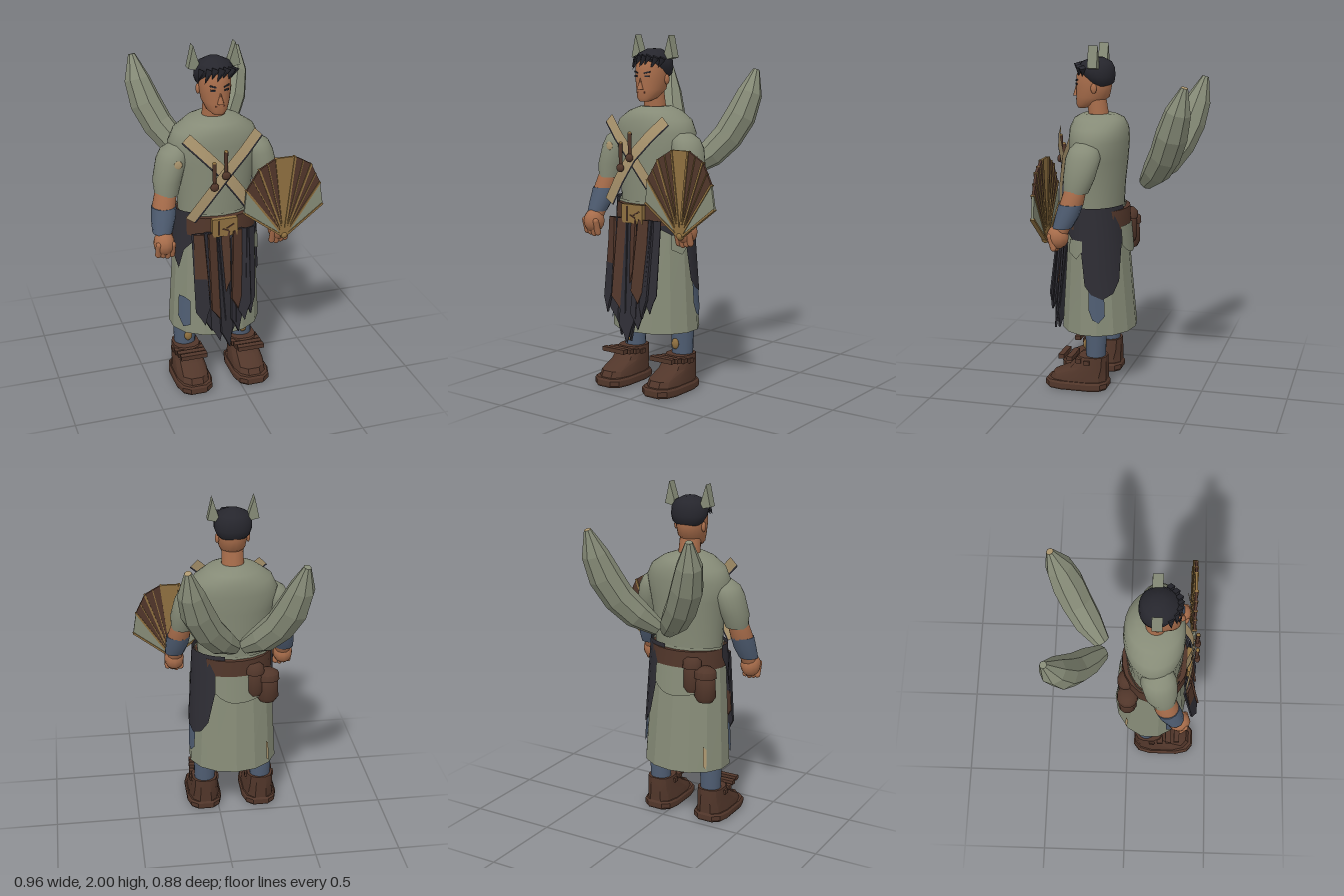
import * as THREE from 'three';
import { toCreasedNormals } from 'three/addons/utils/BufferGeometryUtils.js';

const CX = -0.09; // centre line of the figure

export function createModel() {
  const model = new THREE.Group();
  const figure = new THREE.Group();
  figure.name = 'figure';
  figure.position.x = CX;
  model.add(figure);

  const paint = (name, color, side = THREE.FrontSide) => {
    const m = new THREE.MeshStandardMaterial({ color, side });
    m.name = name;
    return m;
  };
  const sage = paint('sage', 0x868b77, THREE.DoubleSide);
  const skin = paint('skin', 0xa86d4b);
  const black = paint('hair black', 0x26262d);
  const cloth = paint('dark cloth', 0x2e2d34, THREE.DoubleSide);
  const brown = paint('leather brown', 0x51362a);
  const gold = paint('gold', 0x8f7040);
  const tan = paint('tan', 0xae9870, THREE.DoubleSide);
  const blue = paint('slate blue', 0x4f5d72, THREE.DoubleSide);
  const lip = paint('lip', 0x7a4733);

  const add = (name, geo, mat, x = 0, y = 0, z = 0, parent = figure) => {
    const mesh = new THREE.Mesh(geo, mat);
    mesh.name = name;
    mesh.position.set(x, y, z);
    parent.add(mesh);
    return mesh;
  };
  const box = (w, h, d) => new THREE.BoxGeometry(w, h, d);
  const ball = (r) => new THREE.SphereGeometry(r, 12, 8);
  const plate = (points, depth) => new THREE.ExtrudeGeometry(
    new THREE.Shape(points.map(([x, y]) => new THREE.Vector2(x, y))), { depth, bevelEnabled: false });
  const buffer = (pos, idx) => {
    const g = new THREE.BufferGeometry();
    g.setAttribute('position', new THREE.Float32BufferAttribute(pos, 3));
    g.setIndex(idx);
    return g;
  };

  // Oval rings [x, y, z, rx, rz] from bottom to top; power below 1 squares the oval
  const loft = (rings, n = 20, crease = 0.9, capped = true, power = 1) => {
    const rows = capped
      ? [[...rings[0].slice(0, 3), 0, 0], ...rings, [...rings.at(-1).slice(0, 3), 0, 0]] : rings;
    const bend = (c) => Math.sign(c) * Math.abs(c) ** power;
    const pos = [], idx = [];
    rows.forEach(([x, y, z, rx, rz], i) => {
      for (let j = 0; j < n; j++) {
        const a = ((j + 0.5) / n) * Math.PI * 2;
        pos.push(x + rx * bend(Math.cos(a)), y, z + rz * bend(Math.sin(a)));
        if (i === rows.length - 1) continue;
        const p = i * n + j, q = i * n + ((j + 1) % n);
        idx.push(p, p + n, q, q, p + n, q + n);
      }
    });
    return toCreasedNormals(buffer(pos, idx), crease);
  };

  // Torso and neck
  add('tunic', loft([[0, 1.04, 0.15, 0.205, 0.15], [0, 1.2, 0.15, 0.213, 0.158], [0, 1.35, 0.143, 0.238, 0.166],
    [0, 1.46, 0.14, 0.258, 0.17], [0, 1.53, 0.14, 0.225, 0.166], [0, 1.58, 0.14, 0.15, 0.145],
    [0, 1.605, 0.14, 0.08, 0.1]], 28), sage);
  add('neck', loft([[0, 1.56, 0.14, 0.066, 0.06], [0, 1.72, 0.16, 0.06, 0.055]]), skin);

  // Head and face
  add('head', loft([[0, 1.635, 0.24, 0.03, 0.028], [0, 1.655, 0.21, 0.056, 0.066], [0, 1.7, 0.178, 0.076, 0.097],
    [0, 1.76, 0.172, 0.086, 0.104], [0, 1.82, 0.168, 0.088, 0.106], [0, 1.87, 0.16, 0.08, 0.096],
    [0, 1.9, 0.15, 0.05, 0.06]], 24), skin);
  add('nose', new THREE.ConeGeometry(0.019, 0.065, 8), skin, 0, 1.735, 0.279);
  add('mouth', box(0.05, 0.009, 0.009), lip, 0, 1.685, 0.268);
  for (const s of [-1, 1]) {
    add('eye', box(0.027, 0.009, 0.009), black, s * 0.037, 1.774, 0.265).rotation.y = s * 0.4;
    const brow = add('brow', box(0.037, 0.008, 0.009), black, s * 0.037, 1.795, 0.264);
    brow.rotation.set(0, s * 0.4, s * 0.2);
    add('ear', ball(0.026), skin, s * 0.088, 1.755, 0.15).scale.set(0.45, 1.1, 0.7);
    // Upright leaf horn
    add('horn', plate([[0.117, 2], [0.085, 1.9], [0.085, 1.862], [0.145, 1.875]].map(([x, y]) => [s * x, y]), 0.055),
      sage, 0, 0, 0.117);
  }
  add('hair', loft([[0, 1.765, 0.122, 0.07, 0.045], [0, 1.785, 0.128, 0.092, 0.074], [0, 1.82, 0.142, 0.107, 0.093],
    [0, 1.865, 0.156, 0.108, 0.106], [0, 1.9, 0.155, 0.086, 0.087], [0, 1.925, 0.15, 0.035, 0.035]], 20), black);
  for (let i = 0; i < 7; i++) {
    const t = i / 3 - 1;
    const tuft = add('fringe', new THREE.ConeGeometry(0.023, 0.06 + 0.02 * (i % 2), 4), black,
      t * 0.092, 1.862 - 0.012 * (i % 2) - 0.015 * t * t, 0.265 - 0.05 * t * t);
    tuft.rotation.set(Math.PI - 0.15, 0, 0.45);
  }

  // Arms
  for (const s of [-1, 1]) {
    const arm = new THREE.Group();
    arm.name = s < 0 ? 'rightArm' : 'leftArm';
    figure.add(arm);
    const limb = (name, mat, rings, n) =>
      add(name, loft(rings.map(([d, ...r]) => [s * d, ...r]), n), mat, 0, 0, 0, arm);
    limb('sleeve', sage, [[0.285, 1.19, 0.2, 0.066, 0.07], [0.277, 1.27, 0.185, 0.08, 0.09],
      [0.245, 1.38, 0.17, 0.087, 0.1], [0.23, 1.43, 0.168, 0.078, 0.085], [0.215, 1.465, 0.168, 0.04, 0.05]]);
    limb('forearm', skin, [[0.328, 0.96, 0.28, 0.042, 0.042], [0.307, 1.13, 0.22, 0.065, 0.068],
      [0.287, 1.22, 0.2, 0.06, 0.062]]);
    limb('bracer', blue, [[0.33, 0.995, 0.268, 0.056, 0.056], [0.318, 1.06, 0.243, 0.067, 0.067],
      [0.308, 1.13, 0.222, 0.07, 0.07]], 12);
    add('palm', ball(0.062), skin, s * 0.33, 0.94, 0.297, arm).scale.set(0.95, 1.1, 1.05);
    for (let i = 0; i < 4; i++) {
      const finger = add('finger', new THREE.CapsuleGeometry(0.018, 0.07, 4, 8), skin,
        s * (0.29 + i * 0.026), 0.902 + 0.006 * Math.abs(i - 1), 0.322, arm);
      finger.rotation.x = 0.3;
    }
  }
  add('sleevePatch', ball(0.024), tan, -0.235, 1.375, 0.268).scale.z = 0.18;

  // Skirt; skirtRing gives its oval at any height
  const skirtRing = (y, off = 0) => {
    const t = (y - 0.34) / 0.74;
    return [0, y, 0.14 + 0.01 * t, 0.265 - 0.04 * t + off, 0.22 - 0.06 * t + off];
  };
  add('skirt', loft([skirtRing(0.34), skirtRing(0.7), skirtRing(1.08)], 14, 0.2, false), sage);
  add('skirtLining', loft([skirtRing(0.38, -0.01), skirtRing(0.39, -0.01)], 14, 0.2), sage);

  // Cloth pieces lying on the skirt: columns of [angle, top, bottom]
  const drape = (name, mat, columns, off) => {
    const pos = [], idx = [], rows = 4;
    columns.forEach(([a, top, bottom], i) => {
      for (let k = 0; k <= rows; k++) {
        const [, y, z, rx, rz] = skirtRing(top + (bottom - top) * k / rows, off);
        pos.push(rx * Math.cos(a), y, z + rz * Math.sin(a));
        if (i === columns.length - 1 || k === rows) continue;
        const p = i * (rows + 1) + k, q = p + rows + 1;
        idx.push(p, p + 1, q, q, p + 1, q + 1);
      }
    });
    add(name, toCreasedNormals(buffer(pos, idx), 0.5), mat);
  };
  const rightSide = (cols) => cols.map(([a, t, b]) => [Math.PI - a, t, b]);
  drape('leftSideCloth', cloth, [[-1.3, 1.09, 1.0], [-1.05, 1.09, 0.84], [-0.9, 1.09, 0.66], [-0.7, 1.09, 0.59],
    [-0.4, 1.09, 0.56], [-0.1, 1.09, 0.59], [0.08, 1.09, 0.64], [0.2, 1.09, 0.84], [0.45, 1.09, 0.88],
    [0.9, 1.09, 0.93]], 0.014);
  drape('leftBlueTip', blue, [[-0.45, 0.6, 0.46], [-0.28, 0.6, 0.42], [-0.12, 0.62, 0.44], [-0.02, 0.62, 0.5]], 0.008);
  drape('leftFlap', sage, [[0.15, 0.9, 0.84], [0.35, 0.9, 0.79], [0.65, 0.9, 0.82]], 0.018);
  drape('rightSideCloth', cloth, rightSide([[-0.2, 1.09, 1.02], [0.05, 1.09, 0.94], [0.25, 1.09, 0.8], [0.45, 1.09, 0.74],
    [0.6, 1.09, 0.86], [0.95, 1.09, 0.94]]), 0.014);
  drape('rightBluePatch', blue, rightSide([[0.45, 0.57, 0.44], [0.62, 0.57, 0.38], [0.8, 0.55, 0.4]]), 0.008);
  drape('rightTanPatch', tan, rightSide([[-0.78, 0.5, 0.38], [-0.7, 0.48, 0.36]]), 0.006);
  // Short flap hanging below the belt at the back
  drape('backFlap', sage, Array.from({ length: 9 }, (_, i) => {
    const u = i / 4 - 1;
    return [-Math.PI / 2 + u * (u < 0 ? 0.95 : 0.5), 0.97, 0.8 + 0.06 * u * u];
  }), 0.022);

  // Belt, buckle and pouches
  add('belt', loft([[0, 0.955, 0.153, 0.234, 0.194], [0, 1.065, 0.153, 0.228, 0.19]], 20, 0.5), brown);
  add('buckle', box(0.145, 0.105, 0.025), gold, 0, 1.015, 0.348);
  for (const [x, y, w, h, turn] of [[0.03, 1.02, 0.05, 0.007, 0.5], [0.005, 1.0, 0.04, 0.007, -0.4], [-0.035, 1.015, 0.006, 0.085, 0]])
    add('buckleGroove', box(w, h, 0.006), brown, x, y, 0.361).rotation.z = turn;
  for (const [x, y, z, r] of [[-0.19, 0.88, 0.0, 0.065], [-0.11, 0.93, -0.01, 0.055]]) {
    add('pouch', loft([[x, y - 0.1, z, r * 0.7, r * 0.6], [x, y - 0.07, z, r, r * 0.85], [x, y + 0.03, z, r * 0.95, r * 0.8],
      [x, y + 0.06, z, r * 0.65, r * 0.6]], 12), brown);
    add('pouchLid', loft([[x, y + 0.045, z, r * 1.05, r * 0.95], [x, y + 0.085, z, r, r * 0.9],
      [x, y + 0.105, z, r * 0.6, r * 0.5]], 12), brown);
  }

  // Ragged front strips: [x, width, length, top layer?]
  const strips = [[-0.15, 0.07, 0.54, 0], [-0.11, 0.075, 0.6, 0], [-0.065, 0.08, 0.66, 0], [-0.02, 0.075, 0.7, 0],
    [0.03, 0.08, 0.69, 0], [0.075, 0.075, 0.62, 0], [0.115, 0.07, 0.55, 0], [0.15, 0.06, 0.52, 0],
    [-0.145, 0.065, 0.45, 1], [-0.065, 0.085, 0.52, 1], [0.01, 0.05, 0.36, 1], [0.07, 0.065, 0.47, 1]];
  strips.forEach(([x, w, len, upper], i) => {
    const outline = [[-w * 0.45, 0], [-w * 0.6, -len * 0.85], [-w * 0.2, -len * 0.93], [0.1 * w, -len],
      [w * 0.35, -len * 0.88], [w * 0.6, -len * 0.8], [w * 0.45, 0]];
    const strip = add('frontStrip', plate(outline, 0.012), upper ? brown : cloth, x, 0.985, 0.33 + upper * 0.014);
    strip.rotation.set(i % 3 ? -0.09 : -0.135, i % 2 ? 0.4 : -0.4, x < 0 ? 0.03 : -0.03);
  });

  // Legs and boots
  for (const s of [-1, 1]) {
    const x = s * 0.172;
    add('leg', loft([[x, 0.12, 0.12, 0.06, 0.055], [x, 0.3, 0.118, 0.066, 0.062], [x, 0.55, 0.13, 0.075, 0.07]], 14), blue);
    add('kneeStud', ball(0.026), gold, x - s * 0.005, 0.26, 0.182).scale.set(0.9, 1.2, 0.6);
    add('sole', loft([[x, 0, 0.23, 0.1, 0.182], [x, 0.012, 0.23, 0.108, 0.19], [x, 0.04, 0.23, 0.108, 0.19],
      [x, 0.052, 0.23, 0.1, 0.182]], 12, 0.4, true, 0.6), brown);
    add('boot', loft([[x, 0.04, 0.225, 0.096, 0.178], [x, 0.085, 0.213, 0.092, 0.166], [x, 0.13, 0.165, 0.084, 0.118],
      [x, 0.2, 0.135, 0.078, 0.085]], 12, 0.5, true, 0.75), brown);
    // Cross bars over the instep
    for (let i = 0; i < 4; i++) add('instepBar', box(0.18 - 0.008 * i, 0.026, 0.034), brown, x, 0.17 + 0.009 * i, 0.155 + 0.052 * i);
  }

  // Wings: faceted tubes swelling in the middle
  for (const s of [-1, 1]) {
    const path = new THREE.CatmullRomCurve3([[0.035, 1.225, -0.15], [0.1, 1.285, -0.21], [0.205, 1.42, -0.297],
      [0.28, 1.6, -0.362], [0.312, 1.8, -0.42]].map(([x, y, z]) => new THREE.Vector3(s * x, y, z)));
    const seg = 5, sides = 8, radii = [0.048, 0.082, 0.09, 0.092, 0.074, 0.02];
    const geo = new THREE.TubeGeometry(path, seg, 1, sides);
    const pos = geo.attributes.position, v = new THREE.Vector3(), ends = [];
    for (let i = 0; i <= seg; i++) {
      const c = path.getPointAt(i / seg);
      for (let j = 0; j <= sides; j++) {
        const k = i * (sides + 1) + j;
        v.fromBufferAttribute(pos, k).sub(c).multiplyScalar(radii[i]).add(c);
        pos.setXYZ(k, v.x, v.y, v.z);
      }
      if (i % seg === 0) ends.push([c, path.getTangentAt(i / seg).multiplyScalar(i ? 1 : -1), radii[i]]);
    }
    geo.deleteAttribute('uv');
    add('wing', toCreasedNormals(geo, 0.1), sage);
    ends.forEach(([c, dir, r], i) => {
      const cap = add('wingCap', new THREE.CircleGeometry(r, sides), i && s > 0 ? tan : sage, c.x, c.y, c.z);
      cap.quaternion.setFromUnitVectors(new THREE.Vector3(0, 0, 1), dir);
    });
  }

  // Crossed chest straps, each with a dark lower edge
  const ribbon = (name, mat, points, from, to) => {
    const pos = [], idx = [];
    points.forEach(([x, y, z], i) => {
      const a = points[Math.max(i - 1, 0)], b = points[Math.min(i + 1, points.length - 1)];
      const dx = b[0] - a[0], dy = b[1] - a[1], k = 1 / Math.hypot(dx, dy);
      for (const o of [from, to]) pos.push(x - dy * k * o, y + dx * k * o, z);
      if (i) idx.push(2 * i - 2, 2 * i - 1, 2 * i, 2 * i, 2 * i - 1, 2 * i + 1);
    });
    add(name, toCreasedNormals(buffer(pos, idx), 0.6), mat);
  };
  for (const s of [-1, 1]) {
    const pts = [[0.2, 1.54, 0.312], [0.11, 1.45, 0.345], [0, 1.335, 0.362], [-0.1, 1.2, 0.35], [-0.19, 1.07, 0.325]]
      .map(([x, y, z]) => [s * x, y, z + s * 0.004]);
    ribbon('strap', tan, pts, -0.029, 0.029);
    ribbon('strapEdge', cloth, pts, s * 0.029, s * 0.038);
  }
  for (const [x, y] of [[-0.065, 1.33], [0, 1.39]]) {
    add('pendantRod', new THREE.CylinderGeometry(0.012, 0.009, 0.15, 8), brown, x, y, 0.375);
    add('pendantBead', ball(0.024), brown, x, y - 0.06, 0.38).scale.z = 0.7;
    add('pendantTip', ball(0.011), gold, x, y + 0.075, 0.375);
  }

  // Fan held in front of the left hand
  const fan = new THREE.Group();
  fan.name = 'fan';
  fan.position.set(0.25 - CX, 0.915, 0.362);
  figure.add(fan);
  const rim = [[-0.235, 0.175], [-0.222, 0.305], [-0.15, 0.42], [-0.055, 0.475], [0.055, 0.475], [0.15, 0.42],
    [0.205, 0.305], [0.225, 0.175]];
  const panels = [sage, brown, brown, gold, brown, brown, sage];
  const rib = (x, y, w) => {
    add('fanRib', box(w, Math.hypot(x, y), 0.026), gold, x / 2, y / 2, 0.004, fan).rotation.z = Math.atan2(-x, y);
  };
  rim.forEach(([x, y], i) => {
    rib(x, y, 0.011);
    if (i === rim.length - 1) return;
    const [x2, y2] = rim[i + 1];
    if (panels[i] === brown) rib((x + x2) / 2, (y + y2) / 2, 0.005);
    add('fanPanel', plate([[0, 0], [x2, y2], [x, y]], 0.014), panels[i], 0, 0, -0.003, fan);
  });
  add('fanPivot', ball(0.022), gold, 0, 0.01, 0.005, fan);

  return model;
}
